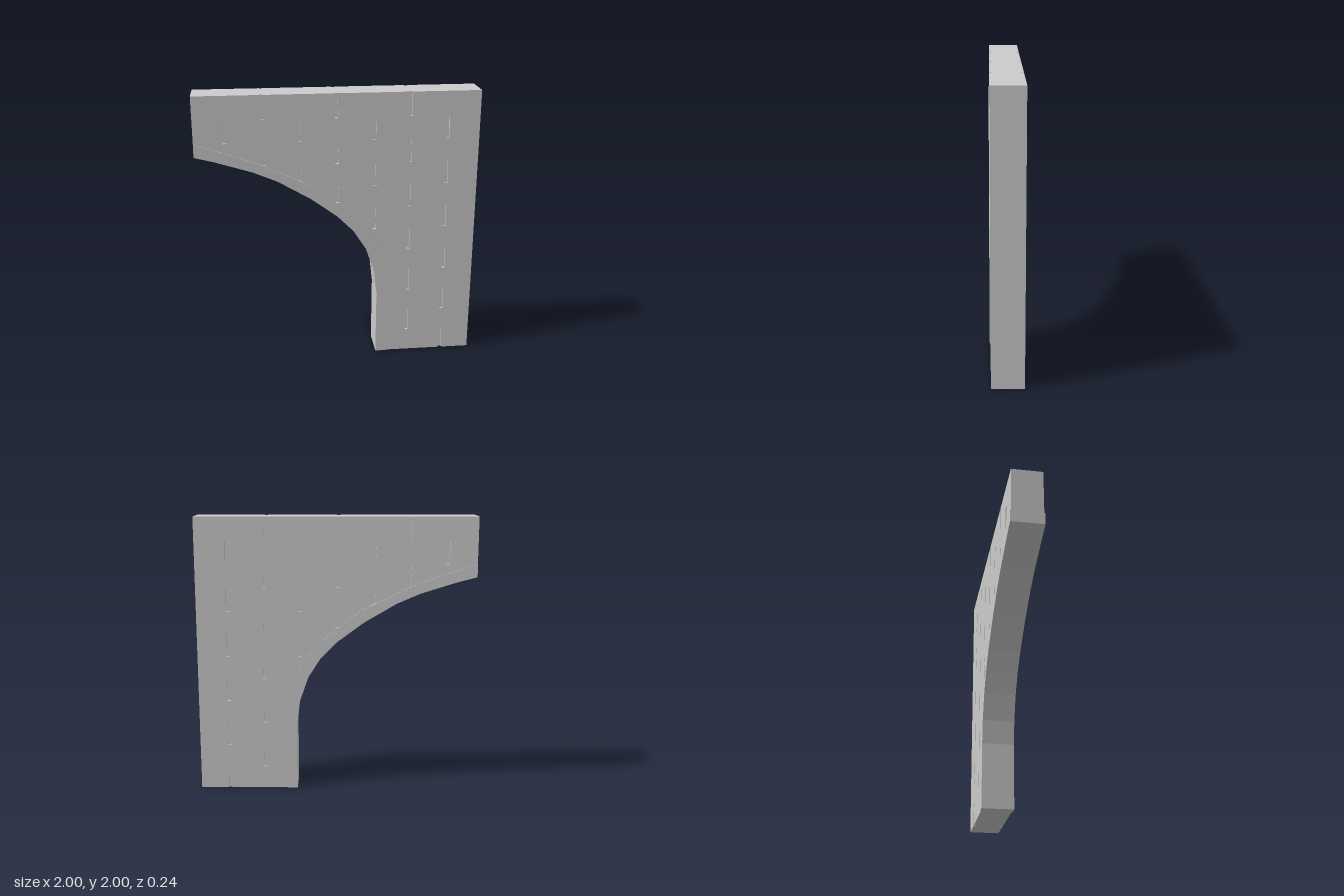
import * as THREE from 'three';

const HALF = 0.112;      // half thickness of the wall
const DEPTH = 0.016;     // depth of the slots
const TRIM = 0.119;      // half thickness of the arch band

// inner and outer edge of the arch band, from the crown down to the foot
const inner = [[-1, 1.575], [-0.87, 1.542], [-0.6, 1.458], [-0.43, 1.385], [-0.2, 1.25], [-0.01, 1.11],
  [0.11, 0.99], [0.2, 0.85], [0.265, 0.665], [0.285, 0.49], [0.285, 0]];
const outer = [[-1, 1.665], [-0.73, 1.58], [-0.53, 1.505], [-0.34, 1.415], [-0.17, 1.33], [-0.02, 1.215],
  [0.12, 1.1], [0.21, 1.0], [0.29, 0.87], [0.347, 0.665], [0.362, 0.49], [0.364, 0]];
// the wall ends inside the band
const wallEdge = outer.map(([x, y]) => [x === -1 ? x : x - 0.025, y === 0 ? y : y - 0.025]);

// slot columns: x at the top, width, and [bottom, top] of each slot
const columns = [
  [-0.79, 0.028, [[1.665, 1.83]]],
  [-0.525, 0.02, [[1.5, 1.665], [1.83, 2]]],
  [-0.275, 0.022, [[1.37, 1.5], [1.665, 1.83]]],
  [-0.016, 0.024, [[1.21, 1.33], [1.5, 1.665], [1.83, 2]]],
  [0.25, 0.025, [[1, 1.165], [1.33, 1.5], [1.665, 1.83]]],
  [0.504, 0.022, [[0.17, 0.335], [0.5, 0.67], [0.835, 1], [1.165, 1.33], [1.5, 1.665], [1.83, 2]]],
  [0.768, 0.026, [[0, 0.17], [0.335, 0.5], [0.67, 0.835], [1, 1.165], [1.33, 1.5], [1.665, 1.83]]],
];

// corners of a slightly leaning slot: bottom left, bottom right, top right, top left
function slotCorners(x, w, [y0, y1]) {
  const at = (y) => x + 0.008 * (2 - y) + (y === y1 ? -0.003 : 0.003);
  return [[at(y0) - w / 2, y0], [at(y0) + w / 2, y0], [at(y1) + w / 2, y1], [at(y1) - w / 2, y1]];
}

const toShape = (pts) => new THREE.Shape(pts.map(([x, y]) => new THREE.Vector2(x, y)));

function slab(name, shape, z0, z1, material) {
  const geometry = new THREE.ExtrudeGeometry(shape, { depth: z1 - z0, bevelEnabled: false });
  geometry.translate(0, 0, z0);
  const mesh = new THREE.Mesh(geometry, material);
  mesh.name = name;
  return mesh;
}

// wall face: slots on the top or bottom edge become notches, the rest are holes
function faceShape() {
  const topNotches = [], bottomNotches = [], holes = [];
  for (const [x, w, spans] of columns) {
    for (const span of spans) {
      const [bl, br, tr, tl] = slotCorners(x, w, span);
      if (span[1] === 2) topNotches.unshift(tr, br, bl, tl);
      else if (span[0] === 0) bottomNotches.push(bl, tl, tr, br);
      else holes.push([bl, tl, tr, br]);
    }
  }
  const shape = toShape([...wallEdge, ...bottomNotches, [1, 0], [1, 2], ...topNotches, [-1, 2]]);
  shape.holes = holes.map((h) => new THREE.Path(h.map(([x, y]) => new THREE.Vector2(x, y))));
  return shape;
}

export function createModel() {
  const group = new THREE.Group();
  group.name = 'archWall';
  const material = new THREE.MeshStandardMaterial({ color: 0xcccccc });

  // solid core, whose sides are the floors of the slots
  const core = HALF - DEPTH;
  const coreShape = toShape([...wallEdge, [1, 0], [1, 2], [-1, 2]]);
  group.add(slab('wallCore', coreShape, -core, core, material));

  // slotted faces
  const face = faceShape();
  group.add(slab('frontFace', face, core, HALF, material));
  group.add(slab('backFace', face, -HALF, -core, material));

  // raised band along the arch, with the underside
  const band = toShape([...inner, ...outer.slice().reverse()]);
  group.add(slab('archBand', band, -TRIM, TRIM, material));

  return group;
}
